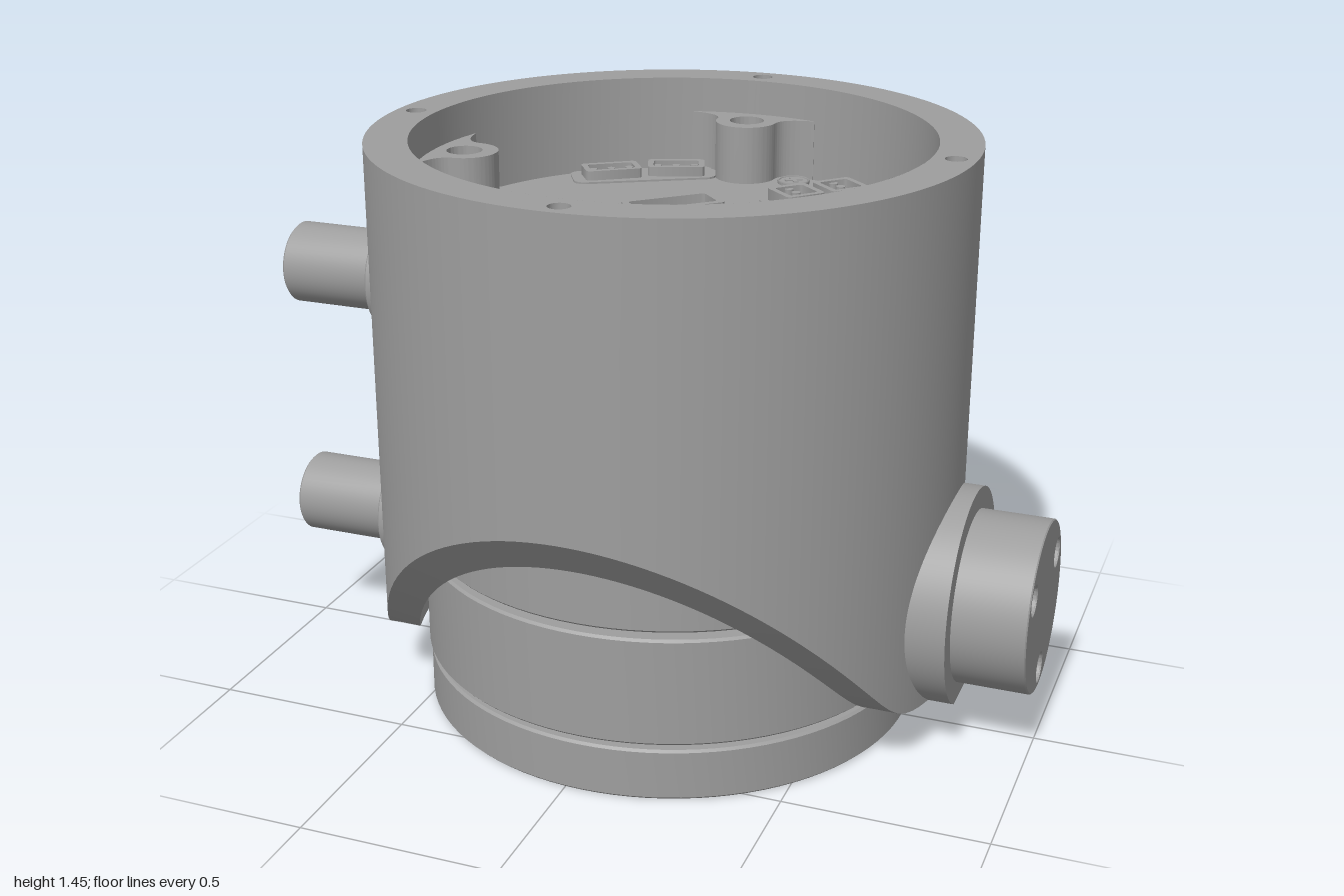
import * as THREE from 'three';
import { toCreasedNormals } from 'three/addons/utils/BufferGeometryUtils.js';

const grey = new THREE.MeshStandardMaterial({ color: 0x9e9e9e, side: THREE.DoubleSide });
grey.name = 'machined grey';

const AXIS = 0.04;   // x of the main axis
const FLOOR = 1.21;  // height of the circuit board
const JOINT = 0.365; // height of the side pivot

export function createModel() {
  const root = new THREE.Group();
  const model = new THREE.Group();
  model.name = 'actuator';
  model.position.x = AXIS;
  root.add(model);

  const add = (name, geometry, x = 0, y = 0, z = 0, turn = 0) => {
    const mesh = new THREE.Mesh(geometry, grey);
    mesh.name = name;
    mesh.position.set(x, y, z);
    mesh.rotation.y = turn;
    model.add(mesh);
    return mesh;
  };
  const lathe = (points, segments = 96) =>
    toCreasedNormals(new THREE.LatheGeometry(points.map(p => new THREE.Vector2(...p)), segments), 0.5);
  const circle = (r, x = 0, y = 0) => new THREE.Path().absarc(x, y, r, 0, Math.PI * 2);
  const disc = (r, holes = []) => {
    const s = new THREE.Shape().absarc(0, 0, r, 0, Math.PI * 2);
    s.holes.push(...holes);
    return s;
  };
  const rounded = (w, d, r) => {
    const s = new THREE.Shape();
    [[1, 1, 0], [-1, 1, 1], [-1, -1, 2], [1, -1, 3]].forEach(([sx, sy, q]) =>
      s.absarc(sx * (w / 2 - r), sy * (d / 2 - r), r, q * Math.PI / 2, (q + 1) * Math.PI / 2));
    return s;
  };
  // Upright extrusion standing on y = 0; shape (x, y) lands on (x, -z)
  const extrude = (shape, depth, bevel = 0) => toCreasedNormals(new THREE.ExtrudeGeometry(shape, {
    depth: depth - 2 * bevel, curveSegments: 48, bevelEnabled: bevel > 0,
    bevelSize: bevel, bevelThickness: bevel, bevelSegments: 1,
  }).translate(0, 0, bevel).rotateX(-Math.PI / 2), 0.5);
  // Lining of a blind drilled hole, opening upward at y = 0
  const drill = (r, depth) => lathe([[0, -depth - r * 0.5], [r, -depth], [r, 0]], 20);

  // Outer shell: lower edge follows a rounded V across z
  const edge = z => {
    const d = 1.235 * (Math.abs(z) - 0.2845);
    return 0.13 + (d + Math.sqrt(d * d + 0.0049)) / 2;
  };
  const wall = (r, top) => {
    const g = new THREE.CylinderGeometry(r, r, 1, 144, 1, true);
    const p = g.attributes.position;
    for (let i = 0; i < p.count; i++) p.setY(i, p.getY(i) > 0 ? top : edge(p.getZ(i)));
    return g;
  };
  add('shellOuterWall', wall(0.735, 1.45));
  add('shellInnerWall', wall(0.655, 0.9));
  add('shellUpperBore', lathe([[0.655, 0.9], [0.63, 0.9], [0.63, 1.45]]));
  const lip = new THREE.RingGeometry(0.655, 0.735, 144, 2).rotateX(Math.PI / 2);
  const lp = lip.attributes.position;
  for (let i = 0; i < lp.count; i++) lp.setY(i, edge(lp.getZ(i)));
  lip.computeVertexNormals();
  add('shellLowerLip', lip);

  // Rim with four drilled holes, and four mounting lugs inside it
  const quarters = [0, 1, 2, 3].map(i => i * Math.PI / 2);
  const rimHoles = quarters.map(a => circle(0.026, 0.685 * Math.cos(a), 0.685 * Math.sin(a)));
  add('shellRim', new THREE.ShapeGeometry(disc(0.735, [circle(0.63), ...rimHoles]), 72)
    .rotateX(-Math.PI / 2), 0, 1.45, 0);
  const lug = new THREE.Shape();
  lug.moveTo(0.66, -0.17);
  lug.lineTo(0.605, -0.17);
  lug.quadraticCurveTo(0.6, -0.085, 0.55, -0.08);
  lug.absarc(0.55, 0, 0.08, -Math.PI / 2, Math.PI / 2, true);
  lug.quadraticCurveTo(0.6, 0.085, 0.605, 0.17);
  lug.lineTo(0.66, 0.17);
  lug.holes.push(circle(0.045, 0.555, 0));
  const lugGeometry = extrude(lug, 0.16);
  for (const a of quarters) {
    add('rimHole', drill(0.026, 0.02), 0.685 * Math.cos(a), 1.45, -0.685 * Math.sin(a));
    add('mountingLug', lugGeometry, 0, 1.2, 0, a);
  }

  // Inner body: two drums on a thin hollow shaft
  const drum = (name, r, y0, y1, c = 0.006) => add(name,
    lathe([[0.09, y0], [r - c, y0], [r, y0 + c], [r, y1 - c], [r - c, y1], [0.09, y1]]));
  drum('upperDrum', 0.63, 0.442, 1.2);
  drum('shaft', 0.13, 0.41, 0.45, 0);
  drum('lowerDrum', 0.63, 0.148, 0.424);
  drum('neck', 0.58, 0.12, 0.15, 0);
  add('centralBore', lathe([[0.115, 0.003], [0.09, 0.04], [0.09, 1.225], [0.1, 1.24], [0.115, 1.24], [0.115, 1.2]], 48));

  // Output flange with bolt holes and screws underneath
  const bolts = Array.from({ length: 8 }, (_, i) => [(i + 0.5) * Math.PI / 4, 0.034]);
  bolts.push([Math.PI / 2, 0.028]);
  const boltHoles = bolts.map(([a, r]) => circle(r + 0.006, 0.55 * Math.cos(a), 0.55 * Math.sin(a)));
  add('outputFlange', extrude(disc(0.619, [circle(0.476), ...boltHoles]), 0.132, 0.006));
  add('flangeCentre', lathe([[0.115, 0.003], [0.475, 0.003], [0.475, 0.13]]));

  // Cross-head screws
  const screw = (x, y, z, r, turn, side) => {
    add('screwHead', new THREE.CylinderGeometry(r, r, 0.008, 24), x, y, z);
    add('screwRing', new THREE.TorusGeometry(r * 0.93, 0.004, 4, 24).rotateX(Math.PI / 2), x, y + side * 0.003, z);
    for (const q of [0, Math.PI / 2])
      add('screwCross', new THREE.BoxGeometry(r * 1.1, 0.004, r * 0.28), x, y + side * 0.005, z, turn + q);
  };
  for (const a of quarters) {
    const t = a + Math.PI / 4;
    screw(0.53 * Math.cos(t), 0.007, 0.53 * Math.sin(t), 0.045, t, -1);
  }

  // Circuit board and its fittings
  add('circuitBoard', extrude(disc(0.605, [circle(0.1)]), 0.01), 0, FLOOR - 0.01, 0);
  [[0.14, -0.53], [-0.525, 0.14], [0.385, 0.385]].forEach(([x, z]) => screw(x, FLOOR + 0.003, z, 0.042, 0.6, 1));
  const socket = (name, x, z, w, d, h, turn, pins, pinR) => {
    const s = rounded(w, d, 0.012);
    s.holes.push(rounded(w - 0.03, d - 0.03, 0.008));
    add(name, extrude(s, h), x, FLOOR, z, turn);
    for (let i = 0; i < pins; i++) {
      const u = (i - (pins - 1) / 2) * w / (pins + 0.1);
      add('contactPin', new THREE.CylinderGeometry(pinR, pinR, h * 0.85, 12),
        x + u * Math.cos(turn), FLOOR + h * 0.425, z - u * Math.sin(turn));
    }
  };
  add('signalPad', extrude(rounded(0.38, 0.12, 0.03), 0.005), -0.255, FLOOR, -0.455, 0.52);
  socket('signalSocket', -0.33, -0.415, 0.15, 0.085, 0.03, 0.6, 3, 0.01);
  socket('signalSocket', -0.18, -0.505, 0.15, 0.085, 0.03, 0.35, 3, 0.01);
  add('terminalPad', extrude(rounded(0.28, 0.14, 0.02), 0.005), 0.25, FLOOR, -0.385, 0.83);
  socket('terminalSocket', 0.205, -0.34, 0.11, 0.11, 0.035, -0.74, 3, 0.012);
  socket('terminalSocket', 0.295, -0.435, 0.11, 0.11, 0.035, -0.74, 3, 0.012);
  add('powerPad', extrude(rounded(0.27, 0.26, 0.05), 0.005), 0.173, FLOOR, 0.4, 0.76);
  socket('powerSocket', 0.133, 0.362, 0.215, 0.1, 0.18, 0.76, 2, 0.026);
  socket('powerSocket', 0.213, 0.438, 0.215, 0.1, 0.18, 0.76, 2, 0.026);
  add('chip', new THREE.BoxGeometry(0.15, 0.012, 0.14), 0.3, FLOOR + 0.006, -0.06, 0.76);
  add('coverPlate', extrude(rounded(0.22, 0.13, 0.025), 0.008), -0.475, FLOOR, -0.115, -0.76);

  // Two hollow spigots on the right-hand side
  const spigot = lathe([[0.15, 0.67], [0.15, 0.772], [0.145, 0.777], [0.105, 0.777], [0.105, 1.034],
    [0.099, 1.04], [0.055, 1.04], [0.055, 0.9], [0, 0.88]], 48).rotateZ(Math.PI / 2);
  for (const y of [JOINT, 1.02]) add('spigot', spigot, 0, y, 0);

  // Pivot boss on the left-hand side: flat-bottomed collar and drilled cap
  const cut = Math.asin(0.24 / 0.27);
  const collar = new THREE.Shape().absarc(0, 0, 0.27, -cut, Math.PI + cut);
  collar.closePath();
  const sideways = g => g.rotateZ(-Math.PI / 2);
  // Shape y becomes -z when upright, so turn it to point up before tipping over
  const boss = (s, depth, bevel) => sideways(extrude(s, depth, bevel).rotateY(Math.PI / 2));
  add('pivotCollar', boss(collar, 0.14, 0), 0.64, JOINT, 0);
  const holeSpots = [30, 150, 270].map(d => [0.165 * Math.cos(d * Math.PI / 180), 0.165 * Math.sin(d * Math.PI / 180)]);
  add('pivotCap', boss(disc(0.212, holeSpots.map(([u, v]) => circle(0.039, u, v))), 0.185, 0.003), 0.775, JOINT, 0);
  for (const [u, v] of holeSpots)
    add('pivotCapHole', sideways(drill(0.037, 0.06)), 0.959, JOINT + v, u);

  return root;
}
